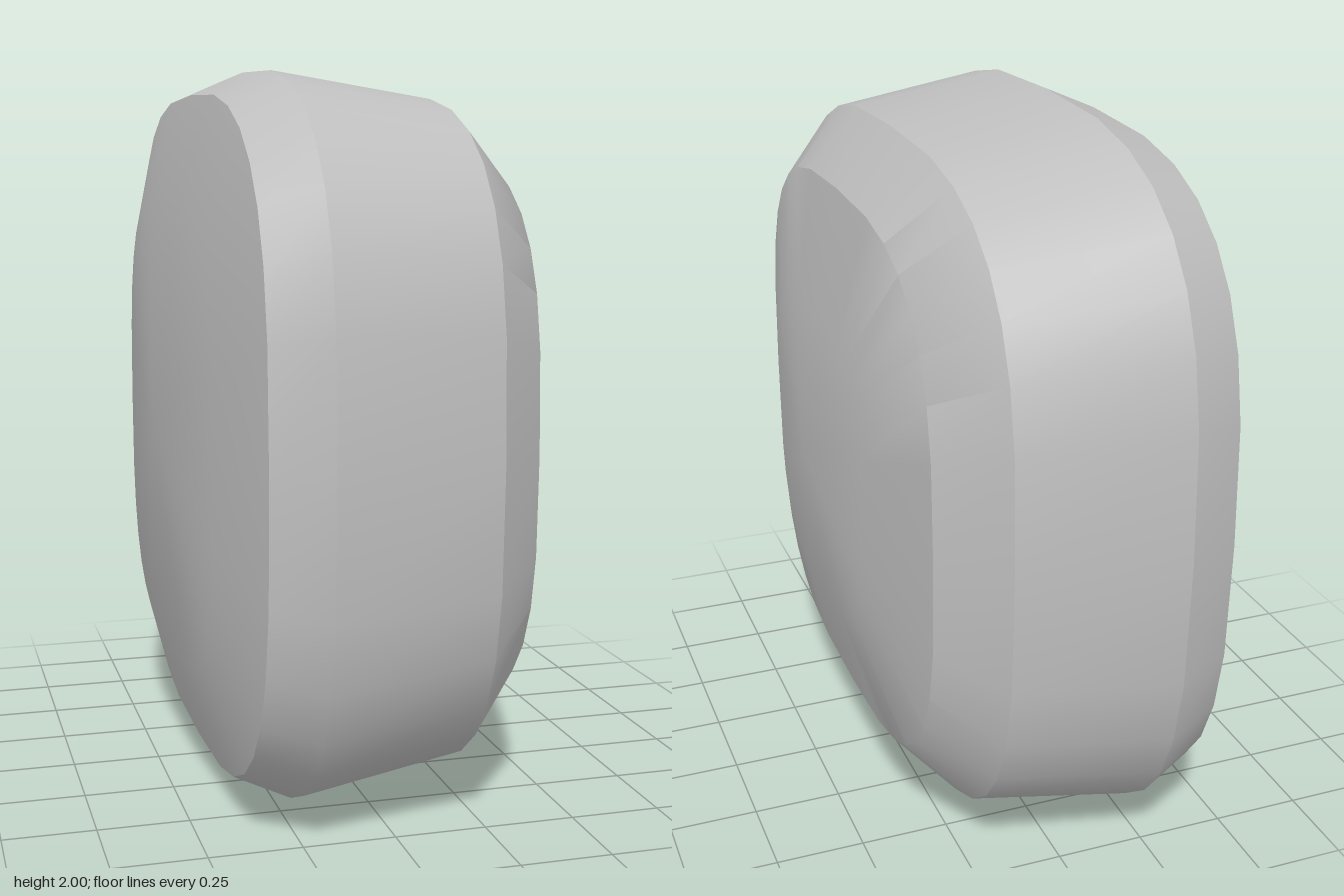
import * as THREE from 'three';
import { toCreasedNormals } from 'three/addons/utils/BufferGeometryUtils.js';

const grey = new THREE.MeshStandardMaterial({ color: 0xbfbfbf });
grey.name = 'grey';

// [half width, position along x] from the shallow face to the deeper one
const profile = [
  [0, -0.5], [0.66, -0.46], [0.935, -0.38], [1, -0.23],
  [0.93, 0.22], [0.77, 0.375], [0.43, 0.455], [0, 0.5],
];

// Turns a circle coordinate into a rounded-square one
const squarePower = (v) => Math.sign(v) * Math.abs(v) ** 0.645;

export function createModel() {
  const group = new THREE.Group();
  group.name = 'roundedSquareButton';

  // Lathe with every ring reshaped into a rounded square
  const body = new THREE.LatheGeometry(profile.map(([r, h]) => new THREE.Vector2(r, h)), 32);
  const p = body.attributes.position;
  for (let i = 0; i < p.count; i++) {
    const x = p.getX(i), z = p.getZ(i);
    const r = Math.hypot(x, z);
    if (r > 1e-6) {
      p.setX(i, r * squarePower(x / r));
      p.setZ(i, r * squarePower(z / r));
    }
  }

  // Lay the axis along x and stand it on the ground
  body.rotateZ(-Math.PI / 2);
  body.translate(0, 1, 0);

  const mesh = new THREE.Mesh(toCreasedNormals(body, Math.PI / 6), grey);
  mesh.name = 'body';
  group.add(mesh);
  return group;
}
